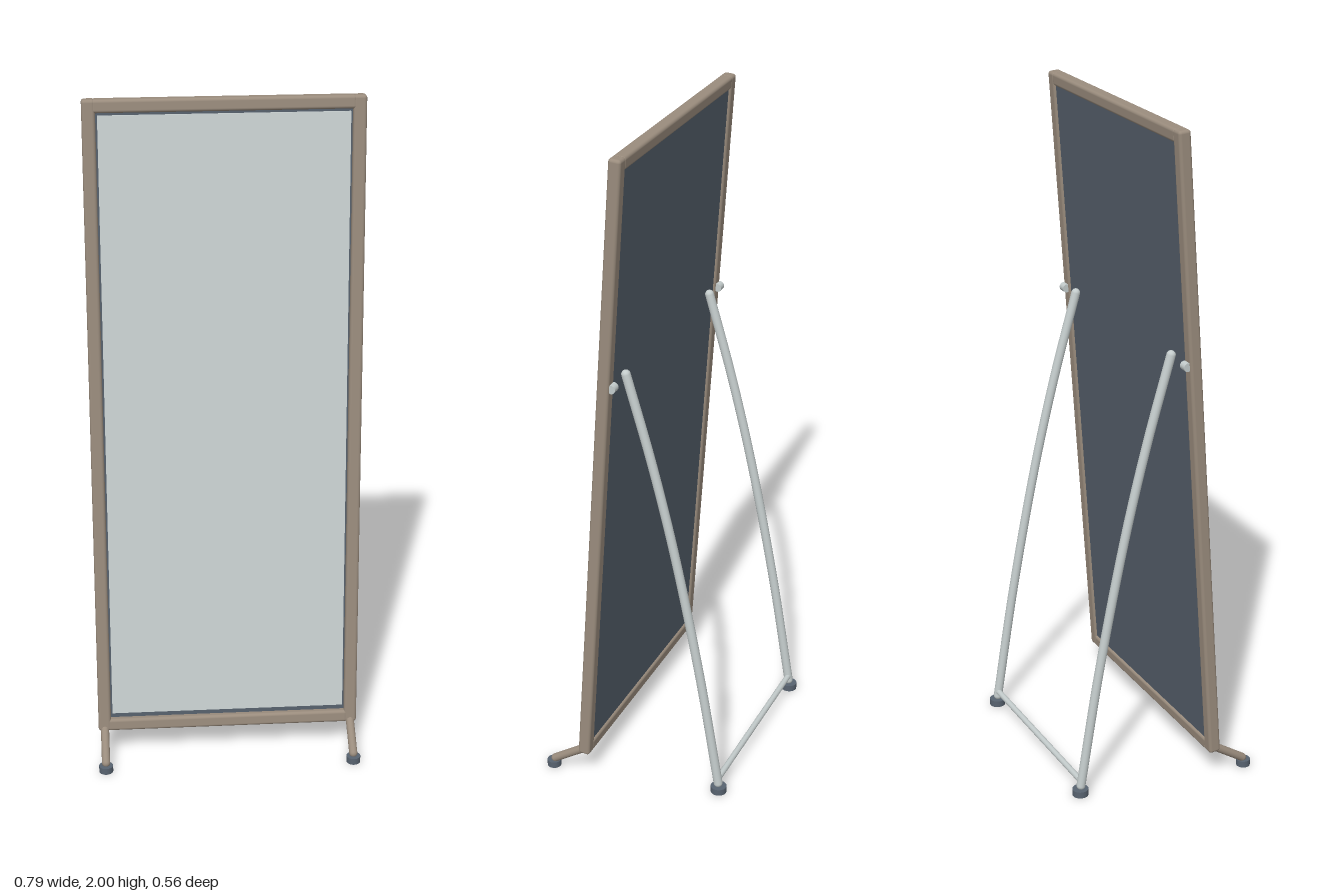
import * as THREE from 'three';
import { RoundedBoxGeometry } from 'three/addons/geometries/RoundedBoxGeometry.js';

const mat = (name, color) => {
  const m = new THREE.MeshStandardMaterial({ color });
  m.name = name;
  return m;
};

export function createModel() {
  const model = new THREE.Group();
  model.name = 'standingMirror';
  const bronze = mat('bronze', 0x9a8c7d);
  const glass = mat('mirrorGlass', 0xccd4d4);
  const slate = mat('slateBacking', 0x56606c);
  const chrome = mat('chrome', 0xc4cccc);
  const rubber = mat('rubber', 0x586370);

  const add = (parent, name, geometry, material, x = 0, y = 0, z = 0) => {
    const mesh = new THREE.Mesh(geometry, material);
    mesh.name = name;
    mesh.position.set(x, y, z);
    parent.add(mesh);
    return mesh;
  };

  // Round bar through [y, z] points at a fixed x, with rounded ends
  const bar = (name, x, points, radius, material) => {
    const group = new THREE.Group();
    group.name = name;
    const path = points.map(([y, z]) => new THREE.Vector3(x, y, z));
    const curve = new THREE.CatmullRomCurve3(path);
    add(group, name + 'Tube', new THREE.TubeGeometry(curve, points.length > 2 ? 24 : 2, radius, 16), material);
    for (const p of [path[0], path[path.length - 1]]) {
      add(group, name + 'End', new THREE.SphereGeometry(radius, 16, 10), material, p.x, p.y, p.z);
    }
    model.add(group);
  };

  // Leaning panel: uprights, rails, glass and backing
  const panel = new THREE.Group();
  panel.name = 'leaningPanel';
  panel.position.set(0, 1.04, 0.08);
  panel.rotation.x = -0.07;
  model.add(panel);
  const halfHeight = 0.961, depth = 0.037;
  for (const s of [-1, 1]) {
    add(panel, 'frameUpright', new RoundedBoxGeometry(0.038, halfHeight * 2, depth, 3, 0.009), bronze, s * 0.374);
    add(panel, 'frameRail', new RoundedBoxGeometry(0.73, 0.038, depth, 3, 0.009), bronze, 0, s * (halfHeight - 0.019));
    // Pivot knob behind each upright
    const knob = add(panel, 'pivotKnob', new THREE.CylinderGeometry(0.013, 0.013, 0.024, 16), chrome,
      s * 0.374, 0.295, -0.023);
    knob.rotation.z = Math.PI / 2;
  }
  add(panel, 'backingBoard', new THREE.BoxGeometry(0.714, 1.85, 0.012), slate, 0, 0, -0.006);
  add(panel, 'mirrorGlass', new THREE.BoxGeometry(0.7, 1.822, 0.006), glass, 0, 0.004, 0.004);

  for (const s of [-1, 1]) {
    // Short front legs
    bar('frontLeg', s * 0.374, [[0.092, 0.152], [0.026, 0.252]], 0.0125, bronze);
    add(model, 'frontFoot', new THREE.CylinderGeometry(0.021, 0.021, 0.02, 24), rubber, s * 0.374, 0.01, 0.256);
    // Long bowed back legs
    bar('backLeg', s * 0.295, [[1.34, 0.033], [1.08, -0.042], [0.8, -0.111], [0.4, -0.192], [0.03, -0.254]], 0.0135, chrome);
    add(model, 'backFoot', new THREE.CylinderGeometry(0.024, 0.024, 0.02, 24), rubber, s * 0.295, 0.01, -0.256);
  }

  // Cross bar joining the back legs
  const cross = add(model, 'crossBar', new THREE.CylinderGeometry(0.009, 0.009, 0.59, 16), chrome, 0, 0.046, -0.254);
  cross.rotation.z = Math.PI / 2;

  return model;
}
